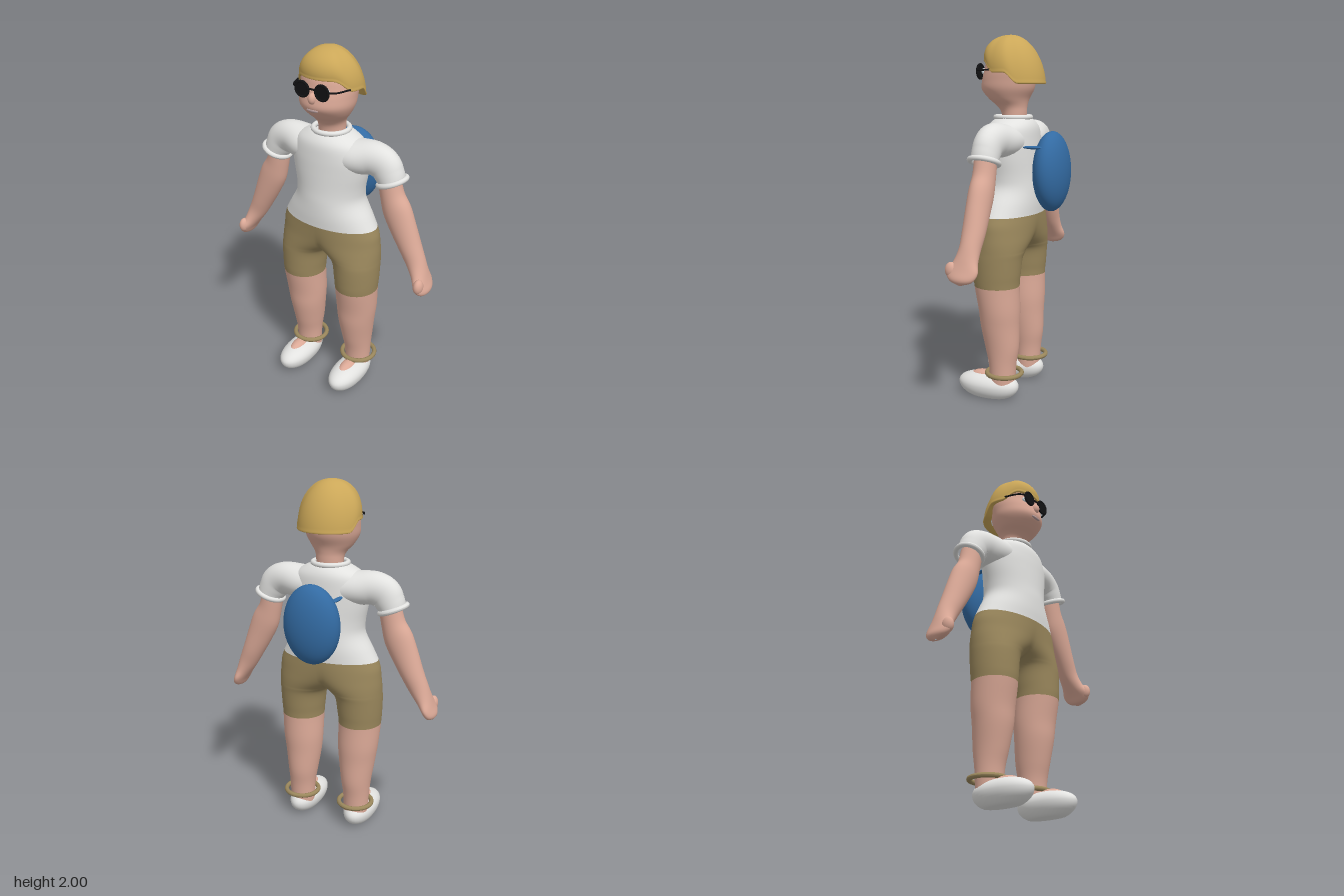
import * as THREE from 'three';
import { mergeGeometries, mergeVertices } from 'three/addons/utils/BufferGeometryUtils.js';

const material = (name, color) => Object.assign(new THREE.MeshStandardMaterial({ color }), { name });

// Joins coincident corners and makes smooth normals
function smooth(geo) {
  geo.deleteAttribute('normal');
  geo.deleteAttribute('uv');
  const merged = mergeVertices(geo, 1e-5);
  merged.computeVertexNormals();
  return merged;
}

// Grid surface from point(row, column), columns running from +x towards +z, rows downward
function grid(rows, cols, point) {
  const pos = [], index = [];
  for (let i = 0; i <= rows; i++) for (let j = 0; j <= cols; j++) {
    pos.push(...point(i / rows, j / cols));
    if (i === rows || j === cols) continue;
    const a = i * (cols + 1) + j, b = a + cols + 1;
    index.push(a, a + 1, b, a + 1, b + 1, b);
  }
  const geo = new THREE.BufferGeometry();
  geo.setAttribute('position', new THREE.Float32BufferAttribute(pos, 3));
  geo.setIndex(index);
  return geo;
}

// Skin through elliptical rings [x, y, z, rx, rz]; tilt turns the rings along the path,
// half cuts them at x = 0 so that a mirrored copy joins on
function loft(keys, { tilt = false, half = false, from = 0, to = keys.length - 1 } = {}) {
  const n = keys.length - 1;
  const path = new THREE.CatmullRomCurve3(keys.map(k => new THREE.Vector3(k[0], k[1], k[2])), false, 'catmullrom');
  const radii = new THREE.CatmullRomCurve3(keys.map(k => new THREE.Vector3(k[3], k[4], 0)), false, 'catmullrom');
  return grid((to - from) * 5, 40, (v, w) => {
    const t = (from + v * (to - from)) / n;
    const c = path.getPoint(t), r = radii.getPoint(t);
    const d = tilt ? path.getTangent(t) : new THREE.Vector3(0, -1, 0);
    const end = half && c.x < r.x ? Math.acos(-c.x / r.x) : Math.PI;
    const a = (w * 2 - 1) * end, u = r.x * Math.cos(a);
    return [c.x - d.y * u, c.y + d.x * u, c.z + r.y * Math.sin(a)];
  });
}

function mirrored(geo) {
  const copy = geo.clone().scale(-1, 1, 1);
  const idx = copy.index.array;
  for (let i = 0; i < idx.length; i += 3) [idx[i], idx[i + 1]] = [idx[i + 1], idx[i]];
  if (copy.attributes.normal) copy.computeVertexNormals();
  return copy;
}

const ellipsoid = (x, y, z, rx, ry, rz) => new THREE.SphereGeometry(1, 36, 24).scale(rx, ry, rz).translate(x, y, z);

export function createModel() {
  const model = new THREE.Group();
  model.name = 'figure';
  const skin = material('skin', 0xdba997), shirt = material('shirt white', 0xe2e2e0);
  const khaki = material('khaki', 0x9a875c), blond = material('blond', 0xcba758);
  const blue = material('blue', 0x336ba3), black = material('black', 0x121214);
  const mouthTone = material('mouth', 0xb49a98), eyeWhite = material('eye white', 0xdfe6ea);

  const add = (name, geo, mat) => {
    const mesh = new THREE.Mesh(geo, mat);
    mesh.name = name;
    model.add(mesh);
  };
  const pair = (name, geo, mat) => {
    add(name + 'Left', geo, mat);
    add(name + 'Right', mirrored(geo), mat);
  };

  // Shirt body
  add('shirtBody', smooth(loft([
    [0, 1.562, 0.03, 0.085, 0.08], [0, 1.54, 0.032, 0.14, 0.11], [0, 1.50, 0.035, 0.2, 0.132],
    [0, 1.43, 0.037, 0.228, 0.14], [0, 1.35, 0.037, 0.222, 0.145], [0, 1.25, 0.037, 0.202, 0.15],
    [0, 1.18, 0.037, 0.203, 0.156], [0, 1.1, 0.037, 0.248, 0.158], [0, 1.035, 0.037, 0.284, 0.155],
  ])), shirt);
  add('collar', new THREE.TorusGeometry(0.095, 0.014, 14, 48).rotateX(Math.PI / 2).translate(0, 1.56, 0.035), shirt);

  // Sleeves with rolled cuffs
  pair('sleeve', smooth(loft([
    [0.06, 1.43, 0.03, 0.09, 0.115], [0.17, 1.438, 0.03, 0.092, 0.112], [0.26, 1.447, 0.026, 0.09, 0.088],
    [0.32, 1.425, 0.025, 0.09, 0.076], [0.35, 1.385, 0.025, 0.082, 0.074], [0.372, 1.34, 0.025, 0.072, 0.072],
  ], { tilt: true })), shirt);
  pair('cuff', new THREE.TorusGeometry(0.076, 0.014, 14, 40).rotateX(Math.PI / 2)
    .rotateZ(0.37).translate(0.371, 1.345, 0.025), shirt);

  // Arms ending in flat mitten hands
  pair('arm', smooth(loft([
    [0.35, 1.37, 0.025, 0.06, 0.06], [0.373, 1.27, 0.025, 0.066, 0.06], [0.405, 1.19, 0.025, 0.08, 0.063],
    [0.445, 1.1, 0.025, 0.075, 0.062], [0.492, 1.0, 0.024, 0.063, 0.06], [0.532, 0.92, 0.026, 0.054, 0.056],
    [0.563, 0.86, 0.033, 0.043, 0.066], [0.588, 0.81, 0.042, 0.033, 0.086], [0.606, 0.77, 0.042, 0.027, 0.062],
    [0.613, 0.75, 0.042, 0.003, 0.005],
  ], { tilt: true })), skin);
  pair('thumb', ellipsoid(0.592, 0.82, 0.1, 0.026, 0.042, 0.034), skin);

  // Shorts and legs share one set of rings
  const legRings = [
    [0, 1.035, 0.037, 0.284, 0.155], [0.03, 0.99, 0.036, 0.268, 0.152], [0.07, 0.94, 0.036, 0.233, 0.148],
    [0.115, 0.89, 0.038, 0.192, 0.144], [0.157, 0.84, 0.042, 0.151, 0.138], [0.173, 0.8, 0.046, 0.135, 0.134],
    [0.178, 0.72, 0.049, 0.127, 0.13], [0.179, 0.65, 0.05, 0.121, 0.125], [0.175, 0.52, 0.038, 0.116, 0.115],
    [0.172, 0.42, 0.035, 0.105, 0.108], [0.172, 0.3, 0.024, 0.088, 0.095], [0.175, 0.2, 0.02, 0.076, 0.077],
    [0.175, 0.08, 0.02, 0.072, 0.07],
  ];
  const shortsHalf = loft(legRings, { half: true, to: 7 });
  add('shorts', smooth(mergeGeometries([shortsHalf, mirrored(shortsHalf)])), khaki);
  pair('leg', smooth(loft(legRings, { from: 7 })), skin);
  pair('ankleBand', new THREE.TorusGeometry(0.096, 0.013, 14, 40).rotateX(Math.PI / 2).translate(0.174, 0.152, 0.01), khaki);

  // Slip-on shoes with flat soles and a bare instep
  const shoe = ellipsoid(0, 0, 0, 1, 1, 1);
  const p = shoe.attributes.position;
  for (let i = 0; i < p.count; i++) {
    const x = p.getX(i), y = p.getY(i), z = p.getZ(i);
    const stretch = z < 0 ? 1 + 0.18 * z * z : 1;
    p.setXYZ(i, 0.178 + 0.088 * x, Math.max(0.003, 0.075 + y * (y > 0 ? 0.066 * stretch : 0.088)),
      0.107 + 0.181 * Math.sign(z) * Math.abs(z) ** 0.88);
  }
  pair('shoe', smooth(shoe), shirt);
  pair('instep', ellipsoid(0.178, 0.115, 0.125, 0.042, 0.037, 0.088), skin);

  // Neck and head
  add('head', smooth(loft([
    [0, 1.5, 0.028, 0.075, 0.065], [0, 1.58, 0.028, 0.076, 0.068], [0, 1.62, 0.04, 0.087, 0.082],
    [0, 1.66, 0.058, 0.12, 0.11], [0, 1.71, 0.065, 0.146, 0.143], [0, 1.76, 0.058, 0.153, 0.147],
    [0, 1.81, 0.046, 0.155, 0.145], [0, 1.87, 0.035, 0.145, 0.14], [0, 1.93, 0.03, 0.09, 0.09],
  ].reverse())), skin);
  add('nose', ellipsoid(0, 1.765, 0.2, 0.022, 0.03, 0.026), skin);
  add('mouth', ellipsoid(0, 1.703, 0.203, 0.036, 0.009, 0.008), mouthTone);
  pair('eye', ellipsoid(0.06, 1.805, 0.176, 0.026, 0.02, 0.016), eyeWhite);

  // Bowl-cut hair: short fringe, longer sides and back, rolled lower edge
  add('hair', smooth(grid(30, 64, (v, w) => {
    const a = w * Math.PI * 2, s = Math.sin(a);
    const edge = 1.742 + 0.058 * THREE.MathUtils.smoothstep(s, -0.5, -0.05)
      + 0.06 * THREE.MathUtils.smoothstep(s, 0.35, 0.85);
    const t = Math.min(v / 0.8, 1) * Math.PI / 2, roll = Math.max(0, (v - 0.8) / 0.2) * Math.PI;
    const r = Math.sin(t) * 0.166 + (roll ? 0.012 * Math.sin(roll) - 0.022 * (1 - Math.cos(roll)) : 0);
    const y = 2 - (2 - edge - 0.008) * (1 - Math.cos(t)) - 0.012 * Math.sin(roll);
    return [r * 1.04 * Math.cos(a), y, 0.045 - 0.022 * (1 - Math.cos(t)) + r * s];
  })), blond);

  // Round sunglasses
  pair('lens', new THREE.CylinderGeometry(0.04, 0.04, 0.008, 32).rotateX(Math.PI / 2).translate(0.06, 1.806, 0.204), black);
  pair('lensRim', new THREE.TorusGeometry(0.038, 0.007, 10, 32).translate(0.06, 1.806, 0.204), black);
  add('bridge', new THREE.CylinderGeometry(0.005, 0.005, 0.05, 10).rotateZ(Math.PI / 2).translate(0, 1.815, 0.206), black);
  pair('templeArm', new THREE.TubeGeometry(new THREE.CatmullRomCurve3([
    new THREE.Vector3(0.098, 1.812, 0.203), new THREE.Vector3(0.128, 1.812, 0.18), new THREE.Vector3(0.158, 1.812, 0.1),
  ]), 12, 0.005, 8), black);

  // Oval backpack and its strap stubs
  add('backpack', ellipsoid(0, 1.27, -0.197, 0.162, 0.218, 0.093), blue);
  pair('strap', ellipsoid(0.118, 1.405, -0.135, 0.016, 0.009, 0.06), blue);
  return model;
}
